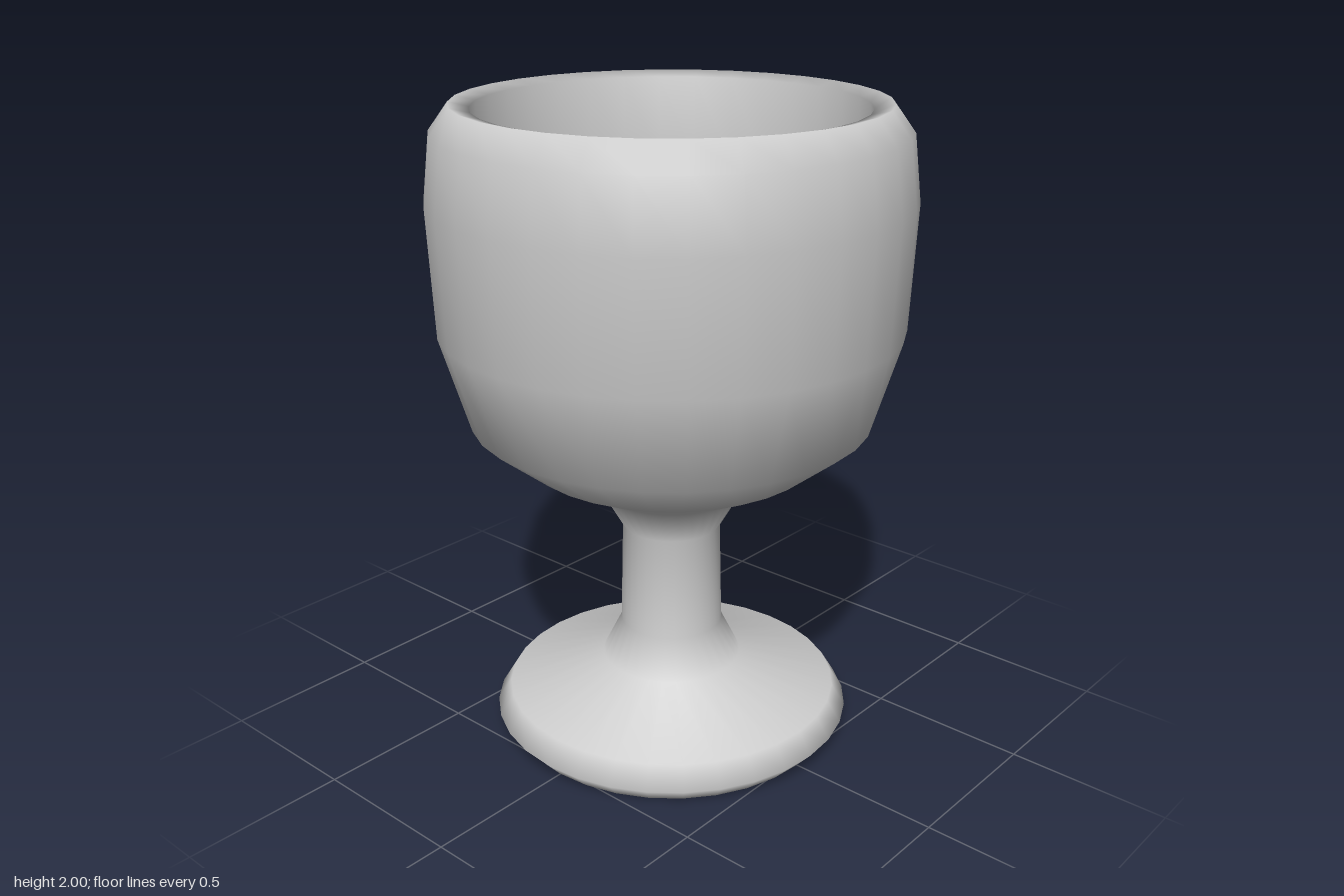
import * as THREE from 'three';

const SEGMENTS = 32;

// One continuous profile [radius, height], from under the foot to the floor of the bowl.
const profile = [
  // foot
  [0, 0], [0.52, 0], [0.57, 0.055], [0.527, 0.125], [0.222, 0.225],
  // stem
  [0.162, 0.345], [0.154, 0.68], [0.222, 0.8],
  // outside of the bowl
  [0.45, 0.915], [0.614, 1.045], [0.702, 1.34], [0.718, 1.72], [0.694, 1.92],
  // rounded rim
  [0.635, 2], [0.575, 1.985],
  // inside of the bowl, with a small well at the centre
  [0.585, 1.72], [0.57, 1.36], [0.5, 1.13], [0.36, 1.02], [0.18, 0.93],
  [0.115, 0.84], [0, 0.8],
];

// Named parts as ranges of profile points.
const parts = { foot: [0, 4], stem: [4, 7], bowlOutside: [7, 12], rim: [12, 14], bowlInside: [14, 21] };

export function createModel() {
  const group = new THREE.Group();
  group.name = 'goblet';
  const grey = new THREE.MeshStandardMaterial({ color: 0xcccccc });
  grey.name = 'grey';

  // Turn the whole profile once, so the normals stay smooth across the parts.
  const points = profile.map(([r, y]) => new THREE.Vector2(r, y));
  const lathe = new THREE.LatheGeometry(points, SEGMENTS);
  const bands = points.length - 1;
  const all = lathe.index.array;

  for (const [name, [from, to]] of Object.entries(parts)) {
    // Keep only the bands of faces that belong to this part.
    const index = [];
    for (let s = 0; s < SEGMENTS; s++) {
      const start = s * bands;
      index.push(...all.slice((start + from) * 6, (start + to) * 6));
    }
    const geometry = lathe.clone();
    geometry.setIndex(index);
    const mesh = new THREE.Mesh(geometry, grey);
    mesh.name = name;
    group.add(mesh);
  }
  return group;
}
